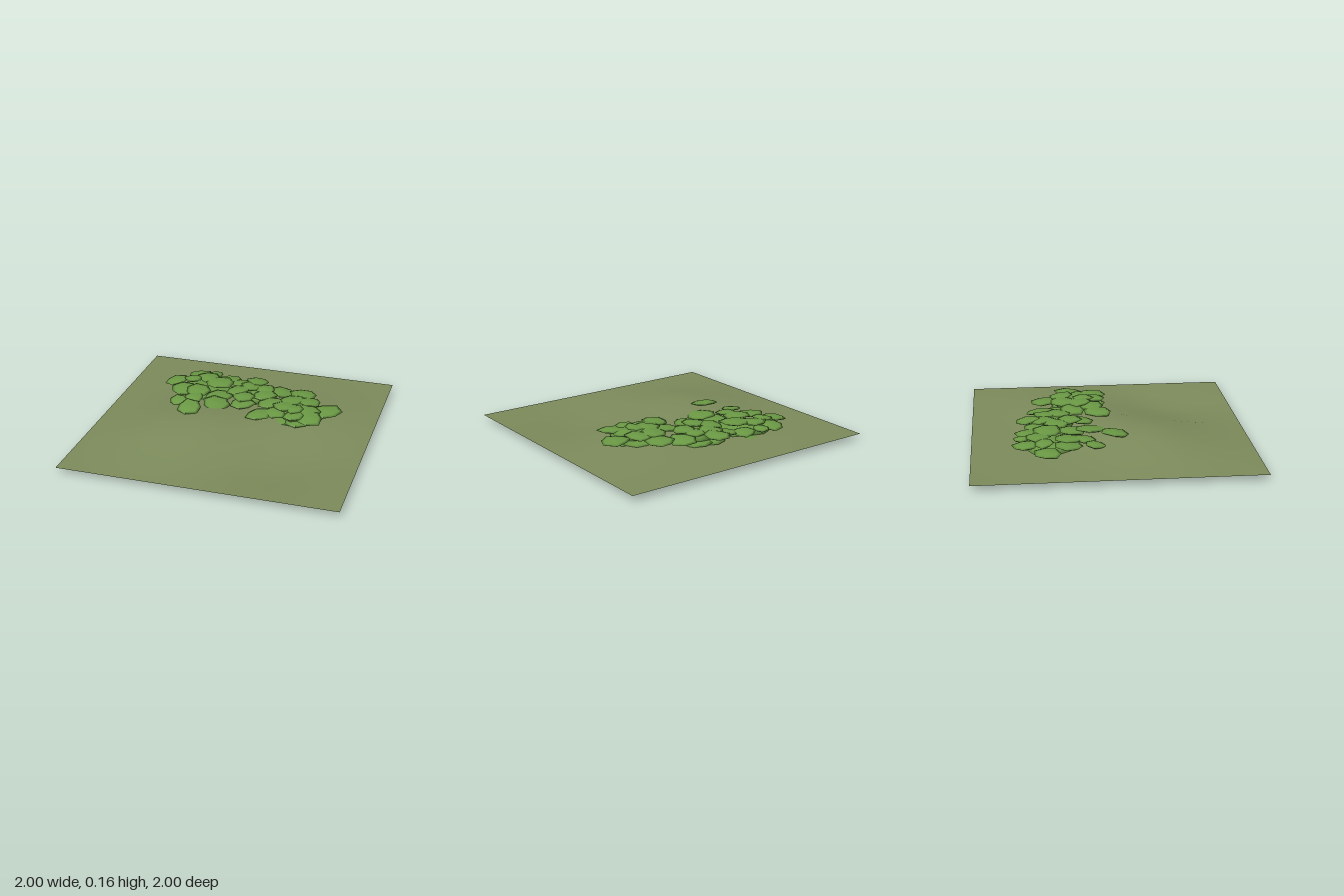
import * as THREE from 'three';

const groundMaterial = new THREE.MeshStandardMaterial({ color: 0x7d8c5c, side: THREE.DoubleSide });
const leafMaterial = new THREE.MeshStandardMaterial({ color: 0x6b9a45 });

let seed = 11;
function rand() {
  seed = (seed * 16807) % 2147483647;
  return seed / 2147483647;
}

// Gentle hills and one hollow, fading to a level border
function groundHeight(x, z) {
  const bump = (cx, cz, r, h) => h * Math.exp(-((x - cx) ** 2 + (z - cz) ** 2) / (r * r));
  const fade = (1 - x ** 4) * (1 - z ** 4);
  return 0.04 + fade * (bump(-0.3, 0.2, 0.46, 0.1) + bump(0.45, -0.25, 0.4, 0.05) + bump(0.5, 0.5, 0.32, -0.052));
}

function makeGround() {
  const geometry = new THREE.PlaneGeometry(2, 2, 8, 8).rotateX(-Math.PI / 2);
  const p = geometry.attributes.position;
  for (let i = 0; i < p.count; i++) p.setY(i, groundHeight(p.getX(i), p.getZ(i)));
  geometry.computeVertexNormals();
  const mesh = new THREE.Mesh(geometry, groundMaterial);
  mesh.name = 'ground';
  return mesh;
}

// Flat seven-sided leaf pad with an uneven outline
function makeLeaf(name, radius, thickness, sides = 7) {
  const profile = [[0, -1], [0.75, -0.8], [1, 0.1], [0.75, 0.65], [0, 1]]
    .map(([r, y]) => new THREE.Vector2(r * radius, y * thickness / 2));
  const geometry = new THREE.LatheGeometry(profile, sides);
  const p = geometry.attributes.position;
  const a = rand() * 6.28, b = rand() * 6.28;
  for (let i = 0; i < p.count; i++) {
    const x = p.getX(i), z = p.getZ(i), t = Math.atan2(z, x);
    const k = 1 + 0.1 * Math.sin(2 * t + a) + 0.08 * Math.sin(3 * t + b);
    p.setXYZ(i, x * k, p.getY(i), z * k);
  }
  geometry.computeVertexNormals();
  const mesh = new THREE.Mesh(geometry, leafMaterial);
  mesh.name = name;
  return mesh;
}

// Clumps: centre x, z, height of the under layer, its radius, height of the crown,
// and the upper leaves as [x, z, radius]
const clumps = [
  { x: -0.36, z: -0.43, base: 0.03, spread: 0.16, crown: 0.135, leaves: [
    [-0.48, -0.62, 0.09], [-0.36, -0.64, 0.06], [-0.23, -0.61, 0.085], [-0.63, -0.47, 0.09],
    [-0.5, -0.49, 0.07], [-0.38, -0.53, 0.09], [-0.27, -0.46, 0.11], [-0.4, -0.31, 0.1],
    [-0.52, -0.32, 0.1], [-0.4, -0.2, 0.08], [-0.5, -0.13, 0.07], [-0.2, -0.14, 0.11],
    [-0.36, 0.02, 0.095], [-0.22, -0.28, 0.1]] },
  { x: 0.05, z: -0.4, base: 0.055, spread: 0.1, crown: 0.135, leaves: [
    [0, -0.59, 0.09], [-0.12, -0.54, 0.08], [-0.02, -0.49, 0.09], [0.1, -0.46, 0.08],
    [0.23, -0.49, 0.1], [-0.1, -0.39, 0.09], [-0.03, -0.29, 0.09], [0.12, -0.36, 0.09],
    [-0.01, -0.2, 0.09]] },
  { x: 0.4, z: -0.2, base: 0.075, spread: 0.11, crown: 0.147, leaves: [
    [0.4, -0.46, 0.1], [0.2, -0.25, 0.1], [0.35, -0.31, 0.1], [0.48, -0.32, 0.09],
    [0.63, -0.25, 0.11], [0.5, -0.18, 0.1], [0.32, -0.19, 0.09], [0.16, -0.06, 0.1],
    [0.27, -0.1, 0.09], [0.4, -0.16, 0.075], [0.42, -0.07, 0.08], [0.54, -0.07, 0.1]] },
];

function makeClump(c) {
  const group = new THREE.Group();
  group.name = 'leafClump';

  // Broad under layer that sinks slightly into the ground
  for (let i = 0; i < 6; i++) {
    const t = i / 6 * Math.PI * 2;
    const pad = makeLeaf('underLeaf', 0.12, 0.026, 8);
    pad.position.set(c.x + Math.cos(t) * c.spread, c.base + 0.006 * (i % 2), c.z + Math.sin(t) * c.spread);
    group.add(pad);
  }
  const core = makeLeaf('clumpCore', c.spread + 0.05, 0.08, 9);
  core.position.set(c.x, c.base + 0.03, c.z);
  group.add(core);

  // Overlapping upper leaves, lower and more tilted toward the rim
  for (const [x, z, r] of c.leaves) {
    const dx = x - c.x, dz = z - c.z;
    const d = Math.hypot(dx, dz);
    const leaf = makeLeaf('leaf', r * 1.03, 0.026);
    const y = c.crown - d * 0.12 + (rand() - 0.5) * 0.016;
    leaf.position.set(x, Math.max(y, groundHeight(x, z) + 0.012), z);
    leaf.rotation.set(dz * 0.35 + (rand() - 0.5) * 0.12, 0, -dx * 0.35 + (rand() - 0.5) * 0.12);
    group.add(leaf);
  }
  return group;
}

export function createModel() {
  seed = 11;
  const model = new THREE.Group();
  model.name = 'leafyGroundPatch';
  model.add(makeGround(), ...clumps.map(makeClump));
  return model;
}
